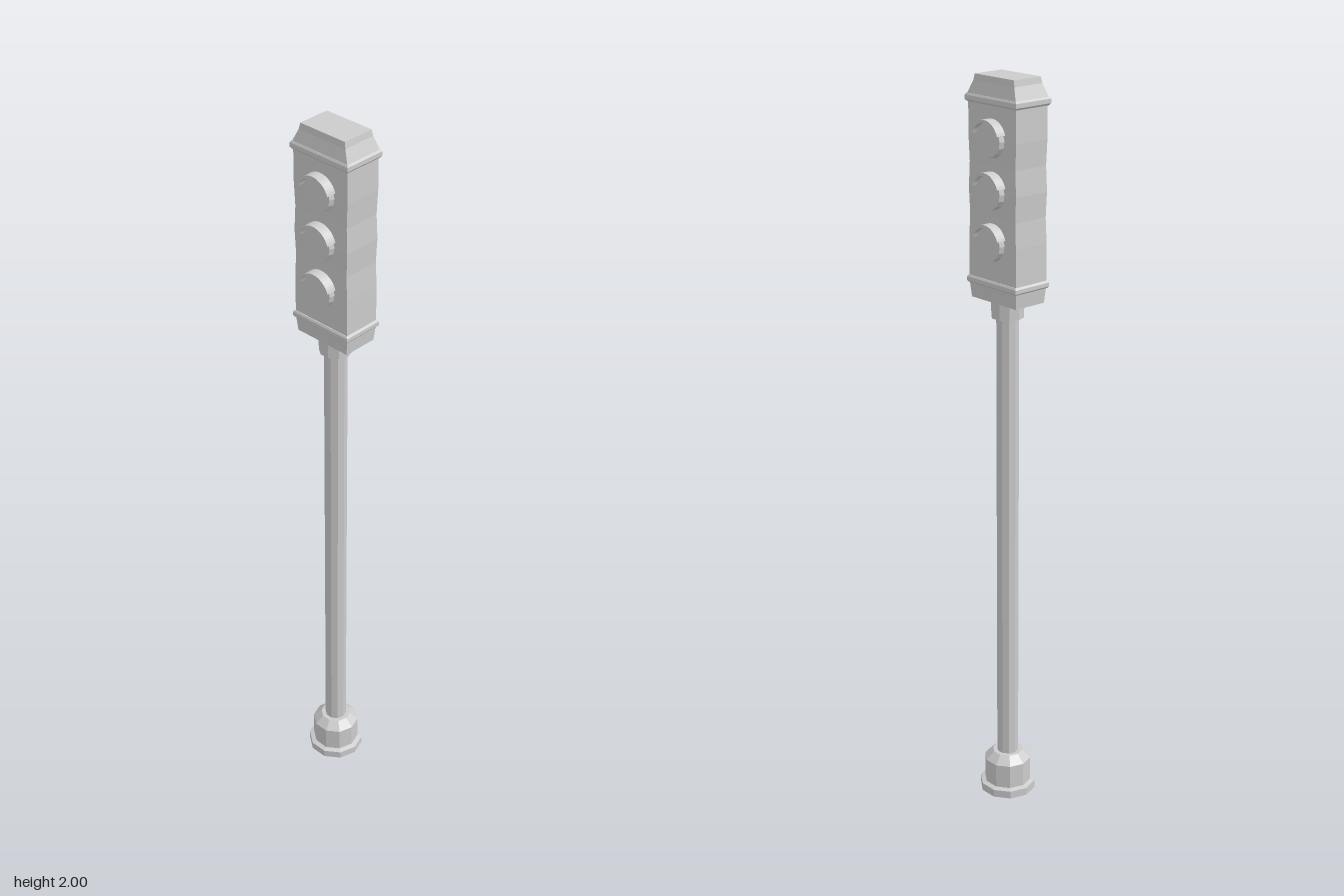
import * as THREE from 'three';

const material = new THREE.MeshStandardMaterial({ color: 0xcccccc, flatShading: true });

function add(parent, name, geometry) {
  const mesh = new THREE.Mesh(geometry, material);
  mesh.name = name;
  parent.add(mesh);
  return mesh;
}

// Rectangular loft through levels of [y, half width x, half depth z]
function rectLoft(levels) {
  const rings = levels.map(([y, x, z]) => [[x, y, z], [x, y, -z], [-x, y, -z], [-x, y, z]]);
  const points = [];
  const quad = (a, b, c, d) => points.push(...a, ...b, ...c, ...a, ...c, ...d);
  for (let i = 0; i < rings.length - 1; i++) {
    const lo = rings[i], hi = rings[i + 1];
    for (let k = 0; k < 4; k++) {
      const n = (k + 1) % 4;
      quad(lo[k], lo[n], hi[n], hi[k]);
    }
  }
  const bottom = rings[0], top = rings[rings.length - 1];
  quad(...top);
  quad(bottom[3], bottom[2], bottom[1], bottom[0]);
  const geometry = new THREE.BufferGeometry();
  geometry.setAttribute('position', new THREE.Float32BufferAttribute(points, 3));
  geometry.computeVertexNormals();
  return geometry;
}

// Ten-sided turned part from [radius, y] points
const turned = (profile) =>
  new THREE.LatheGeometry(profile.map(([r, y]) => new THREE.Vector2(r, y)), 10);

// Lens disc with a curved hood above it, facing +x
function createLamp(y) {
  const lamp = new THREE.Group();
  lamp.name = 'lamp';
  lamp.position.y = y;

  const lens = new THREE.CylinderGeometry(0.043, 0.047, 0.022, 16);
  lens.rotateZ(-Math.PI / 2);
  add(lamp, 'lens', lens).position.x = 0.055;

  const start = Math.PI * 0.1, end = Math.PI * 0.9;
  const arc = new THREE.Shape();
  arc.absarc(0, 0, 0.051, start, end, false);
  arc.absarc(0, 0, 0.044, end, start, true);
  const hood = new THREE.ExtrudeGeometry(arc, { depth: 0.034, bevelEnabled: false, curveSegments: 8 });
  hood.rotateY(Math.PI / 2);
  add(lamp, 'hood', hood).position.x = 0.045;
  return lamp;
}

export function createModel() {
  const model = new THREE.Group();
  model.name = 'trafficSignal';

  // Base and post
  add(model, 'base', turned([
    [0, 0], [0.078, 0], [0.078, 0.022], [0.065, 0.026], [0.065, 0.095], [0.042, 0.117], [0, 0.117],
  ]));
  add(model, 'pole', turned([[0.03, 0.11], [0.03, 1.4]]));
  add(model, 'collar', turned([[0, 1.39], [0.043, 1.39], [0.043, 1.44], [0, 1.44]]));

  // Signal housing, bulging slightly around each lamp
  const housing = new THREE.Group();
  housing.name = 'housing';
  model.add(housing);
  add(housing, 'foot', rectLoft([[1.435, 0.048, 0.083], [1.478, 0.052, 0.087]]));
  add(housing, 'lowerTrim', rectLoft([
    [1.474, 0.054, 0.089], [1.478, 0.057, 0.092], [1.488, 0.057, 0.092], [1.493, 0.054, 0.088],
  ]));
  add(housing, 'body', rectLoft([
    [1.485, 0.052, 0.087], [1.59, 0.052, 0.087], [1.655, 0.051, 0.084], [1.72, 0.052, 0.087],
    [1.785, 0.051, 0.084], [1.85, 0.052, 0.087], [1.94, 0.052, 0.087],
  ]));
  add(housing, 'upperTrim', rectLoft([
    [1.932, 0.054, 0.089], [1.937, 0.058, 0.093], [1.948, 0.058, 0.093], [1.953, 0.055, 0.089],
  ]));
  add(housing, 'cap', rectLoft([
    [1.95, 0.055, 0.089], [1.984, 0.046, 0.074], [2, 0.044, 0.071],
  ]));

  // Three lamps on each side
  for (const turn of [0, Math.PI]) {
    const lamps = new THREE.Group();
    lamps.name = turn ? 'rightLamps' : 'leftLamps';
    lamps.rotation.y = turn;
    for (const y of [1.59, 1.72, 1.85]) lamps.add(createLamp(y));
    model.add(lamps);
  }
  return model;
}
